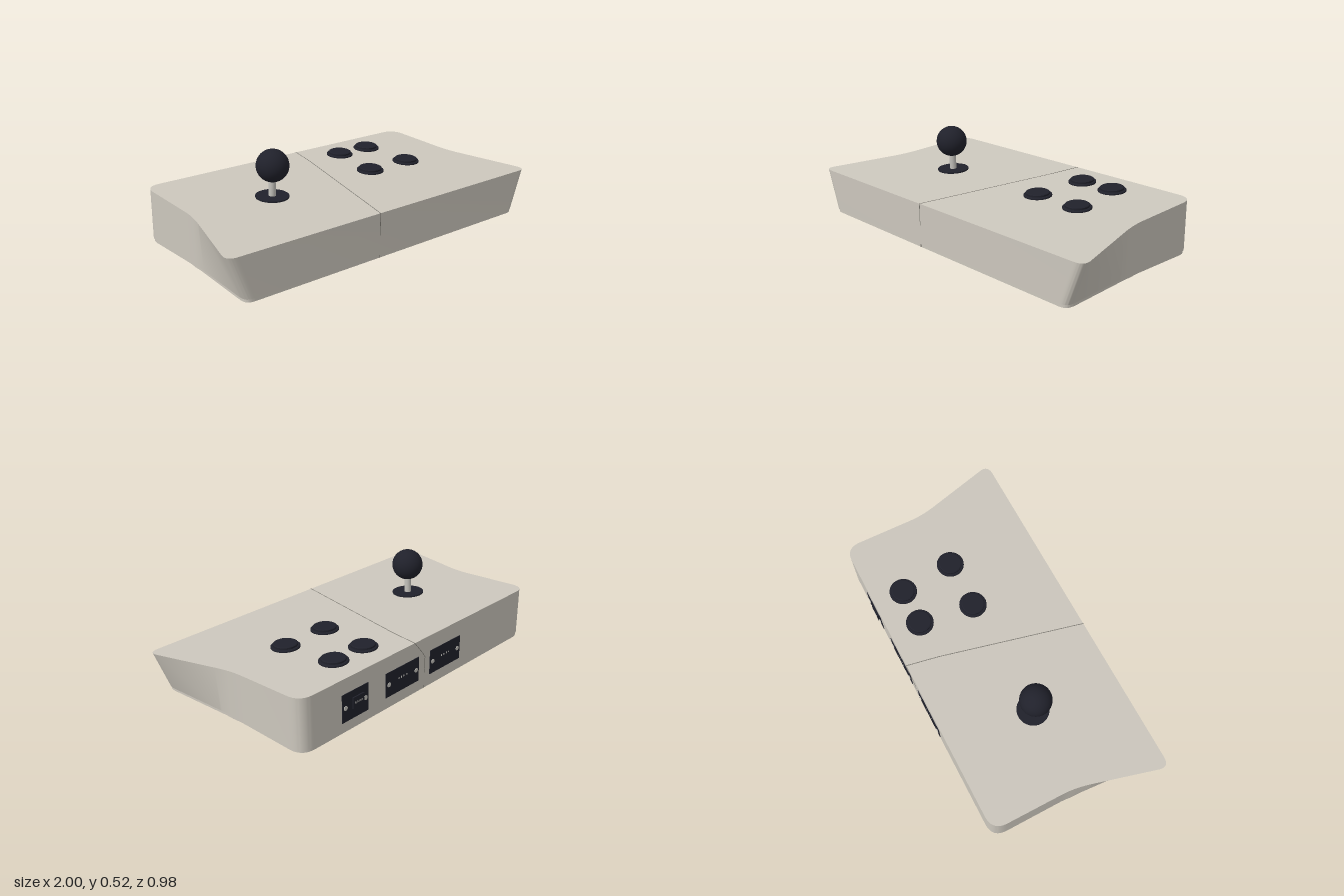
import * as THREE from 'three';
import { toCreasedNormals } from 'three/addons/utils/BufferGeometryUtils.js';

const FRONT = 0.487, BACK = -0.477, BASE = 0.016;
const TILT = Math.atan(0.0519);
const topY = (z) => 0.237 + (FRONT - z) * 0.0519;

const mat = (name, color, side = THREE.FrontSide) => {
  const m = new THREE.MeshStandardMaterial({ color, side });
  m.name = name;
  return m;
};

// Plan outline of the case: straight at the back, flaring to the front corners
function outline() {
  const s = new THREE.Shape();
  s.moveTo(-0.95, -FRONT);
  s.lineTo(0.95, -FRONT);
  s.quadraticCurveTo(1.012, -FRONT, 0.997, -0.43);
  s.lineTo(0.905, -0.09);
  s.quadraticCurveTo(0.88, 0, 0.88, 0.08);
  s.lineTo(0.88, 0.395);
  s.quadraticCurveTo(0.878, 0.475, 0.8, -BACK);
  s.lineTo(-0.8, -BACK);
  s.quadraticCurveTo(-0.878, 0.475, -0.88, 0.395);
  s.lineTo(-0.88, 0.08);
  s.quadraticCurveTo(-0.88, 0, -0.905, -0.09);
  s.lineTo(-0.997, -0.43);
  s.quadraticCurveTo(-1.012, -FRONT, -0.95, -FRONT);
  return s;
}

// Extrudes the outline, then applies a rule to every vertex
function shell(rule) {
  const g = new THREE.ExtrudeGeometry(outline(), { depth: 1, bevelEnabled: false, curveSegments: 14 });
  g.rotateX(-Math.PI / 2);
  const p = g.attributes.position;
  for (let i = 0; i < p.count; i++) p.setXYZ(i, ...rule(p.getX(i), p.getY(i), p.getZ(i)));
  return toCreasedNormals(g, 0.5);
}

// The sides lean inwards towards the floor in the flared front half
const taper = (z) => 1 - 0.085 * THREE.MathUtils.clamp(z / 0.45, 0, 1);

export function createModel() {
  const model = new THREE.Group();
  model.name = 'joystickController';
  const shellMat = mat('warm grey plastic', 0xccc7bd);
  const dark = mat('dark navy plastic', 0x20212b);
  const metal = mat('pale metal', 0xc4c2bc);
  const groove = mat('seam grey', 0x85827a);

  const add = (name, geo, material, x = 0, y = 0, z = 0, parent = model) => {
    const m = new THREE.Mesh(geo, material);
    m.name = name;
    m.position.set(x, y, z);
    parent.add(m);
    return m;
  };

  // Case and slightly inset base plate
  add('case', shell((x, d, z) => [
    x * THREE.MathUtils.lerp(taper(z), 1, d), BASE + d * (topY(z) - BASE), z]), shellMat);
  add('basePlate', shell((x, d, z) => [
    x * taper(z) * 0.995, d * BASE, z * 0.996]), shellMat);

  // Seam line running round the two halves
  const seam = [
    [-0.115, 0, FRONT - 0.002], [-0.115, topY(FRONT), FRONT], [0.068, topY(-0.3), -0.3],
    [0.1, topY(BACK), BACK], [0.035, 0.21, BACK], [0.015, 0.18, BACK], [0.015, 0, BACK + 0.002],
    [0.055, 0, -0.31], [-0.115, 0, FRONT - 0.002],
  ].map((p) => new THREE.Vector3(...p));
  for (let i = 0; i < seam.length - 1; i++) {
    const a = seam[i], b = seam[i + 1];
    const bar = add('seam', new THREE.BoxGeometry(0.004, 0.002, a.distanceTo(b)), groove);
    bar.position.lerpVectors(a, b, 0.5);
    bar.lookAt(b);
  }

  // Groups that stand square to the sloping top
  const onTop = (name, x, z) => {
    const g = new THREE.Group();
    g.name = name;
    g.position.set(x, topY(z), z);
    g.rotation.x = TILT;
    model.add(g);
    return g;
  };

  // Joystick
  const stick = onTop('joystick', -0.42, 0.005);
  add('dustWasher', new THREE.CylinderGeometry(0.087, 0.087, 0.01, 40), dark, 0, 0.002, 0, stick);
  add('stem', new THREE.CylinderGeometry(0.019, 0.019, 0.11, 24), metal, 0, 0.055, 0, stick);
  add('ballTop', new THREE.SphereGeometry(0.085, 40, 28), dark, 0, 0.168, 0, stick);

  // Push buttons: a collar with a raised cap
  const profile = [[0.075, -0.005], [0.075, 0.006], [0.071, 0.01], [0.063, 0.01],
    [0.063, 0.019], [0.058, 0.022], [0, 0.022]].map(([r, y]) => new THREE.Vector2(r, y));
  const buttonGeo = toCreasedNormals(new THREE.LatheGeometry(profile, 40), 0.5);
  for (const [x, z] of [[0.29, -0.305], [0.497, -0.305], [0.255, 0], [0.53, 0]]) {
    add('buttonBody', buttonGeo, dark, 0, 0, 0, onTop('button', x, z));
  }

  // Rear sockets: plate, two screws and contact pins
  const disc = (r, h) => new THREE.CylinderGeometry(r, r, h, 16);
  for (const [x, w, h, usb] of [[0.53, 0.18, 0.15, true], [0.19, 0.25, 0.135, false], [-0.15, 0.25, 0.135, false]]) {
    const socket = new THREE.Group();
    socket.name = 'rearSocket';
    socket.position.set(x, 0.132, BACK);
    model.add(socket);
    add('socketPlate', new THREE.BoxGeometry(w, h, 0.006), dark, 0, 0, 0, socket);
    for (const s of [-1, 1]) {
      const screw = add('socketScrew', disc(0.012, 0.004), metal, s * (w / 2 - 0.022), 0, -0.004, socket);
      screw.rotation.x = Math.PI / 2;
    }
    if (usb) add('connector', new THREE.BoxGeometry(0.075, 0.06, 0.016), dark, -0.015, 0.008, -0.002, socket);
    for (let i = 0; i < 4; i++) {
      const step = usb ? 0.013 : 0.02;
      add('pin', new THREE.BoxGeometry(0.006, 0.009, 0.002), metal,
        (usb ? -0.015 : 0) + (i - 1.5) * step, 0.008, usb ? -0.0102 : -0.0035, socket);
    }
  }

  // Underside screws
  for (const [x, z] of [[0.81, -0.4], [0.81, 0.39], [-0.81, -0.4], [-0.81, 0.39],
    [0.14, -0.34], [-0.06, -0.34], [-0.01, 0.36], [-0.16, 0.36]]) {
    add('undersideScrew', disc(0.014, 0.002), groove, x, 0.0005, z);
  }
  return model;
}
